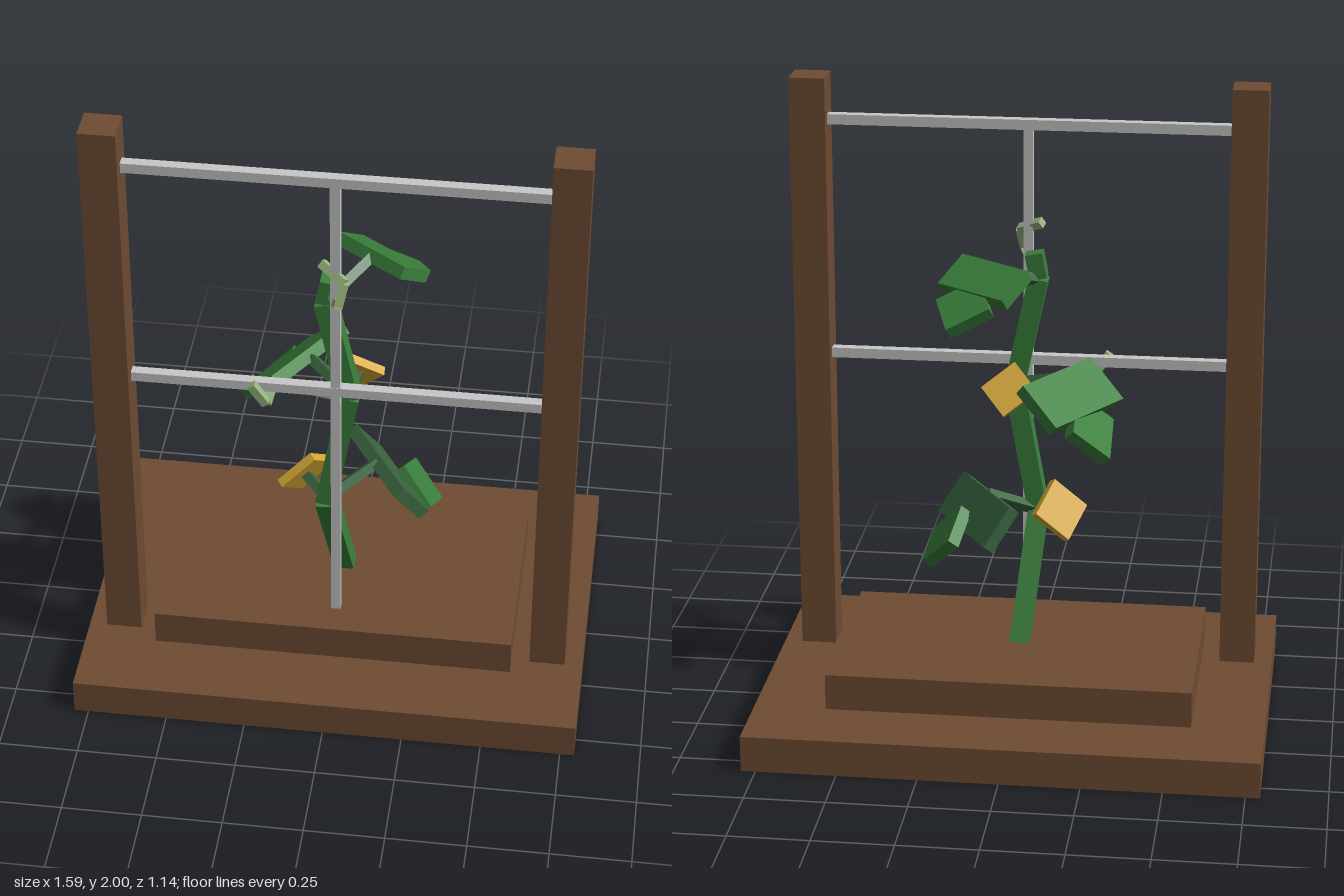
import * as THREE from 'three';

const mat = (name, color) => Object.assign(new THREE.MeshStandardMaterial({ color }), { name });

export function createModel() {
  const wood = mat('brown wood', 0x6f4c33);
  const metal = mat('grey metal', 0xc8c8c8);
  const green = mat('leaf green', 0x3a7f3c);
  const dark = mat('dull green', 0x3a653f);
  const pale = mat('pale green', 0x98b780);
  const yellow = mat('flower yellow', 0xd6a835);
  const unit = new THREE.BoxGeometry(1, 1, 1);
  const V = (p) => new THREE.Vector3(...p);
  const model = new THREE.Group();
  model.name = 'trellisPlant';

  const group = (name) => {
    const g = new THREE.Group();
    g.name = name;
    model.add(g);
    return g;
  };

  const box = (parent, name, material, size, pos) => {
    const m = new THREE.Mesh(unit, material);
    m.name = name;
    m.scale.set(...size);
    m.position.set(...pos);
    parent.add(m);
    return m;
  };

  // Square bar running between two points
  const bar = (parent, name, material, a, b, width) => {
    const p = V(a), q = V(b), d = q.clone().sub(p);
    const m = box(parent, name, material, [width, d.length(), width], p.clone().add(q).multiplyScalar(0.5).toArray());
    m.quaternion.setFromUnitVectors(new THREE.Vector3(0, 1, 0), d.normalize());
    return m;
  };

  // Flat slab whose top has corner a and neighbours b, c; thickness goes below
  const slab = (parent, name, material, a, b, c, thick) => {
    const A = V(a), u = V(b).sub(A), v = V(c).sub(A);
    const n = u.clone().cross(v).normalize();
    const center = A.clone().addScaledVector(u, 0.5).addScaledVector(v, 0.5).addScaledVector(n, -thick / 2);
    v.addScaledVector(u, -u.dot(v) / u.lengthSq()); // square the corners
    const basis = new THREE.Matrix4().makeBasis(u.clone().normalize(), v.clone().normalize(), n);
    const m = box(parent, name, material, [u.length(), v.length(), thick], center.toArray());
    m.quaternion.setFromRotationMatrix(basis);
    return m;
  };

  // Base and planting bed
  box(model, 'base', wood, [1.59, 0.115, 1.14], [0, 0.0575, 0]);
  box(model, 'plantingBed', wood, [1.14, 0.115, 0.68], [0, 0.1725, 0]);

  // Trellis frame
  const trellis = group('trellis');
  for (const s of [-1, 1]) {
    box(trellis, s > 0 ? 'leftPost' : 'rightPost', wood, [0.112, 1.885, 0.112], [s * 0.683, 1.0575, 0.228]);
  }
  for (const y of [1.103, 1.863]) {
    box(trellis, 'crossRod', metal, [1.26, 0.032, 0.032], [0, y, 0.225]);
  }
  box(trellis, 'uprightRod', metal, [0.03, 1.64, 0.03], [0, 1.035, 0.225]);

  // Zigzag stem
  const stem = group('stem');
  const nodes = [[0.002, 0.22, 0.005], [-0.04, 0.62, 0.163], [0.035, 1.04, 0.163], [-0.04, 1.39, 0.163], [-0.025, 1.47, 0.163]];
  for (let i = 0; i < nodes.length - 1; i++) {
    bar(stem, 'stemSegment', green, nodes[i], nodes[i + 1], i === 3 ? 0.055 : 0.062);
  }

  // Leaves: a stalk, a broad blade and a drooping tip
  const leaf = (name, bladeMat, stalk, blade, tip) => {
    const g = group(name);
    bar(g, 'stalk', dark, stalk[0], stalk[1], 0.03);
    slab(g, 'blade', bladeMat, ...blade, 0.04);
    slab(g, 'tip', green, ...tip, 0.04);
  };
  leaf('lowerLeaf', dark,
    [[-0.04, 0.62, 0.16], [0.11, 0.7, 0.06]],
    [[0.02, 0.72, -0.1], [0.205, 0.72, 0.2], [0.1, 0.6, -0.14]],
    [[0.19, 0.67, 0.03], [0.285, 0.57, 0.1], [0.215, 0.6, -0.1]]);
  leaf('middleLeaf', green,
    [[0.035, 1.04, 0.16], [-0.1, 1.09, 0.06]],
    [[-0.2, 1.12, 0.205], [-0.02, 1.12, -0.095], [-0.31, 1.01, 0.14]],
    [[-0.175, 1.06, 0.04], [-0.18, 0.99, -0.13], [-0.285, 0.96, 0.08]]);
  leaf('upperLeaf', green,
    [[-0.04, 1.38, 0.16], [0.08, 1.45, 0.01]],
    [[-0.03, 1.48, -0.07], [0.19, 1.48, 0.09], [0.035, 1.41, -0.16]],
    [[0.11, 1.445, -0.03], [0.24, 1.38, -0.05], [0.09, 1.375, -0.16]]);

  // Square yellow flowers
  const flower = (name, stalk, corners) => {
    const g = group(name);
    bar(g, 'stalk', dark, stalk[0], stalk[1], 0.03);
    slab(g, 'petals', yellow, ...corners, 0.028);
  };
  flower('lowerFlower', [[-0.04, 0.62, 0.16], [-0.115, 0.65, 0.085]],
    [[-0.2, 0.65, 0.13], [-0.1, 0.745, 0.1], [-0.15, 0.57, 0.03]]);
  flower('upperFlower', [[0.035, 1.04, 0.16], [0.048, 1.055, 0.065]],
    [[-0.045, 1.06, 0.045], [0.03, 1.14, 0.085], [0.05, 0.98, 0.0]]);

  // Tendrils gripping the rods
  const tendril = (name, points) => {
    const g = group(name);
    for (let i = 0; i < points.length - 1; i++) bar(g, 'tendrilPiece', pale, points[i], points[i + 1], 0.026);
  };
  tendril('lowerTendril', [[0.03, 1.03, 0.165], [-0.2, 1.08, 0.175], [-0.21, 1.05, 0.25], [-0.255, 1.12, 0.255]]);
  tendril('upperTendril', [[-0.02, 1.42, 0.165], [0.015, 1.45, 0.268], [0.03, 1.52, 0.25], [-0.045, 1.555, 0.205]]);

  return model;
}
